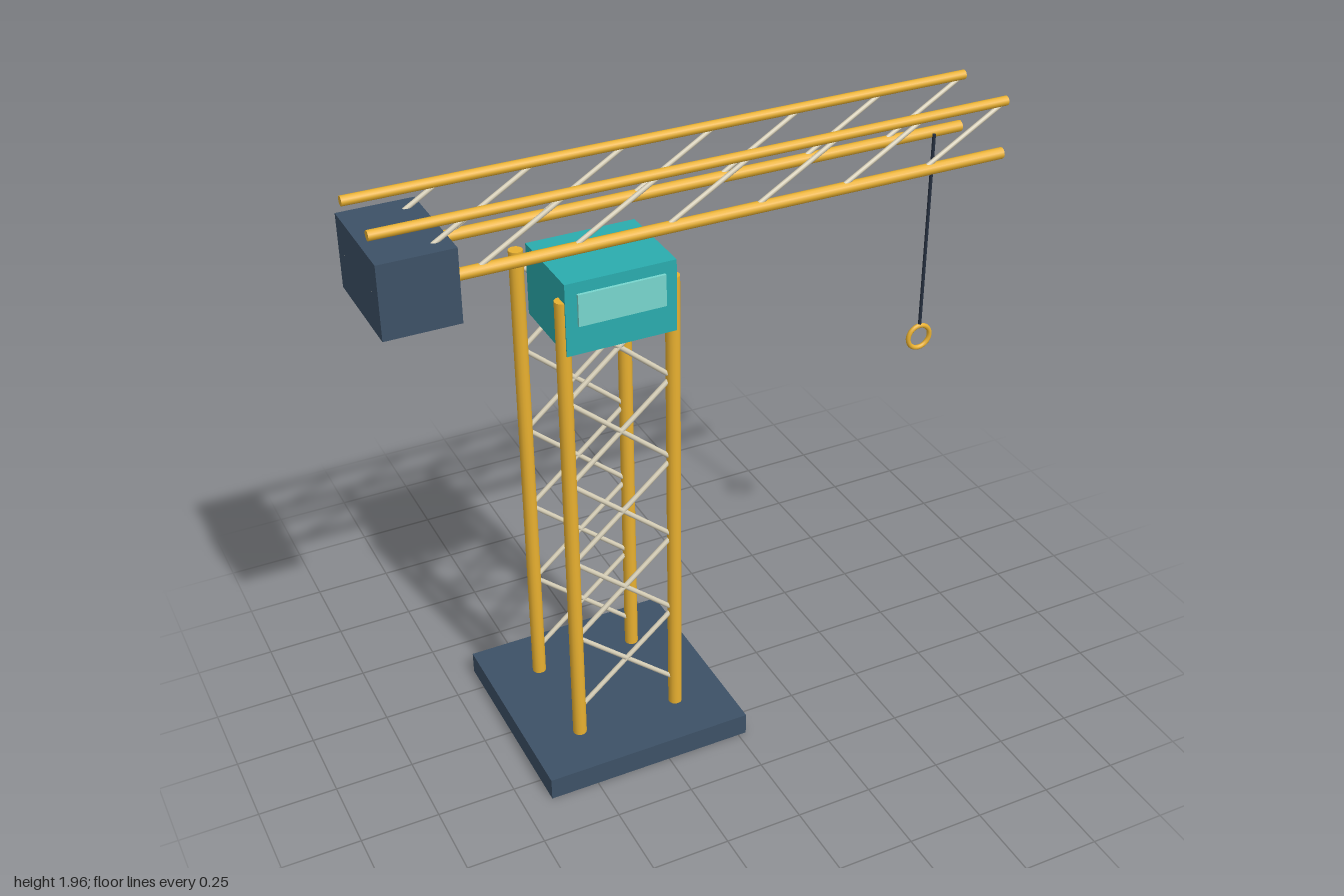
import * as THREE from 'three';

const paint = (color) => new THREE.MeshStandardMaterial({ color });

export function createModel() {
  const crane = new THREE.Group();
  crane.name = 'towerCrane';
  const yellow = paint(0xe8b030), steel = paint(0xd8d0b8), slate = paint(0x3d5166);
  const teal = paint(0x2aacae), glass = paint(0x78d6ce), cable = paint(0x263040);

  const add = (name, geometry, material, x, y, z) => {
    const mesh = new THREE.Mesh(geometry, material);
    mesh.name = name;
    mesh.position.set(x, y, z);
    crane.add(mesh);
    return mesh;
  };
  const box = (name, w, h, d, material, x, y, z) =>
    add(name, new THREE.BoxGeometry(w, h, d), material, x, y, z);

  // Round bar running between two points
  const bar = (name, from, to, radius, material, sides = 12) => {
    const a = new THREE.Vector3(...from), b = new THREE.Vector3(...to);
    const dir = b.clone().sub(a);
    const mid = a.clone().add(b).multiplyScalar(0.5);
    const mesh = add(name, new THREE.CylinderGeometry(radius, radius, dir.length(), sides),
      material, mid.x, mid.y, mid.z);
    mesh.quaternion.setFromUnitVectors(new THREE.Vector3(0, 1, 0), dir.normalize());
    return mesh;
  };

  // Base slab
  const towerX = -0.315, half = 0.17;
  box('base', 0.685, 0.075, 0.685, slate, towerX, 0.0375, 0);

  // Tower: four legs, crossed braces on the front and back faces
  const left = towerX + half, right = towerX - half;
  for (const z of [half, -half]) {
    for (const x of [left, right]) bar('towerLeg', [x, 0.07, z], [x, 1.65, z], 0.022, yellow, 16);
    for (let i = 0; i < 5; i++) {
      const y = 0.315 + i * 0.286, rise = 0.146;
      bar('towerBrace', [right, y - rise, z], [left, y + rise, z], 0.008, steel, 8);
      bar('towerBrace', [left, y - rise, z], [right, y + rise, z], 0.008, steel, 8);
    }
  }

  // Operator cab and its front window
  box('cab', 0.342, 0.228, 0.28, teal, towerX, 1.597, 0.056);
  box('cabWindow', 0.27, 0.1, 0.016, glass, towerX, 1.625, 0.197);

  // Jib: two side trusses, each with two chords and parallel diagonals
  const lowY = 1.77, highY = 1.94, bays = 7, bay = 1.99 / bays;
  for (const z of [0.114, -0.114]) {
    bar('jibLowerChord', [-0.997, lowY, z], [0.995, lowY, z], 0.018, yellow);
    bar('jibUpperChord', [-0.997, highY, z], [0.995, highY, z], 0.015, yellow);
    for (let i = 0; i < bays; i++) {
      const x = -0.997 + i * bay;
      bar('jibDiagonal', [x, lowY, z], [x + bay, highY, z], 0.0075, steel, 8);
    }
  }

  // Counterweight at the tail of the jib
  box('counterweight', 0.228, 0.228, 0.342, slate, -0.886, 1.766, 0);

  // Hoist cable and ring hook
  bar('hoistCable', [0.823, 1.15, 0], [0.823, 1.82, 0], 0.0055, cable, 8);
  add('hookRing', new THREE.TorusGeometry(0.04, 0.008, 10, 28), yellow, 0.823, 1.112, 0);

  return crane;
}
